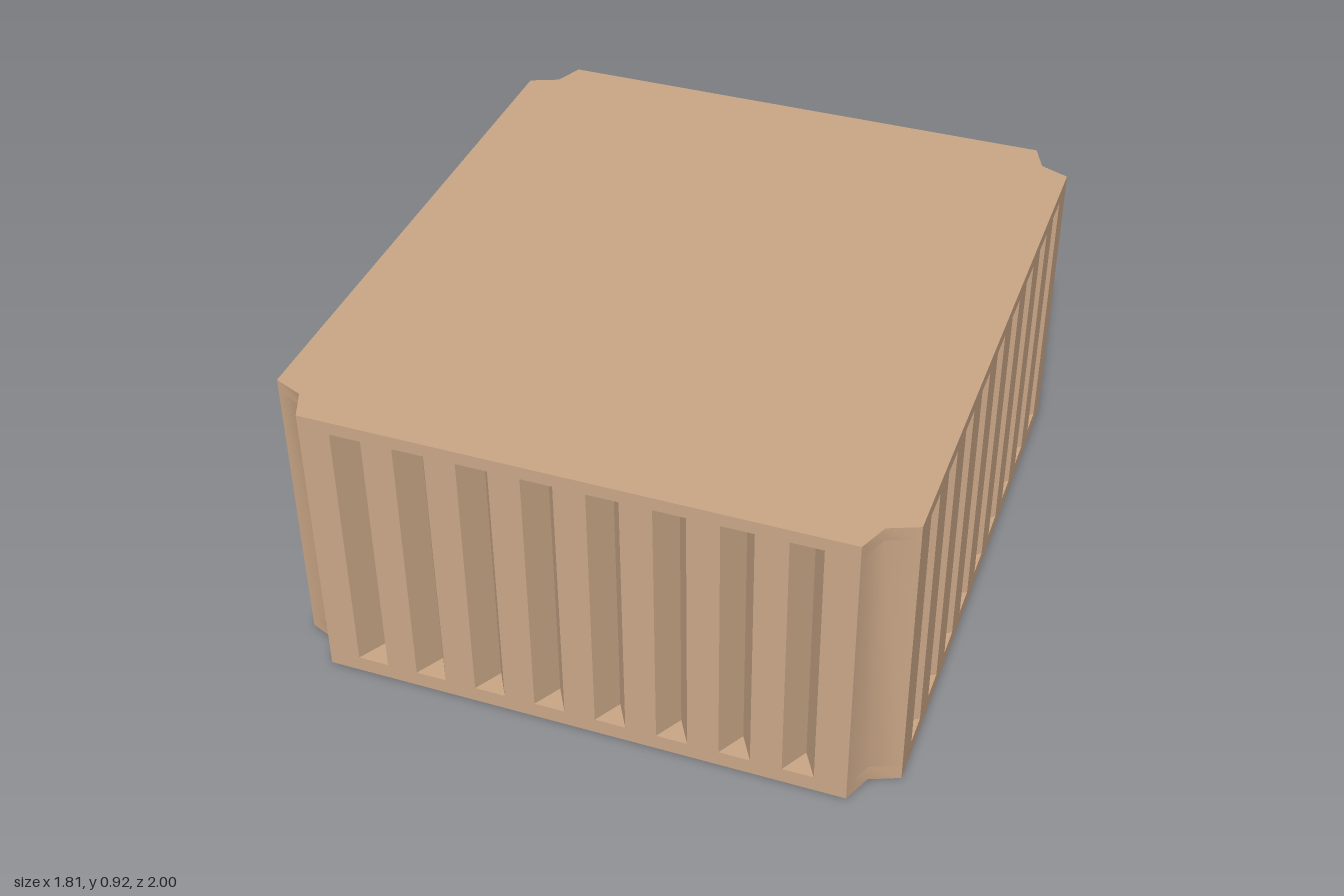
import * as THREE from 'three';
import { toCreasedNormals } from 'three/addons/utils/BufferGeometryUtils.js';

const HALF_X = 0.907, HALF_Z = 1;
const CORNER = 0.123;                 // radius of the scooped corners
const PITCH = 0.184, SLOT = 0.092, DEPTH = 0.08;

// Plan outline with scooped corners, optionally cut by rows of V grooves
function outline(grooved) {
  const points = [];
  for (let k = 0; k < 4; k++) {
    const a = k * Math.PI / 2, c = Math.cos(a), s = Math.sin(a);
    const out = k % 2 ? HALF_Z : HALF_X;
    const along = k % 2 ? HALF_X : HALF_Z;
    const count = k % 2 ? 8 : 9;
    const add = (t, n) => points.push(new THREE.Vector2(n * c - t * s, n * s + t * c));

    add(CORNER - along, out);
    for (let i = 0; grooved && i < count; i++) {
      const t = (i - (count - 1) / 2) * PITCH;
      add(t - SLOT / 2, out);
      add(t, out - DEPTH);
      add(t + SLOT / 2, out);
    }
    add(along - CORNER, out);
    add(along - CORNER * Math.SQRT1_2, out - CORNER * Math.SQRT1_2);
  }
  return new THREE.Shape(points);
}

export function createModel() {
  const group = new THREE.Group();
  const tan = new THREE.MeshStandardMaterial({ color: 0xc9a686 });
  tan.name = 'tan';

  // One horizontal layer of the block
  const layer = (name, y0, y1, grooved) => {
    const geo = new THREE.ExtrudeGeometry(outline(grooved), { depth: y1 - y0, bevelEnabled: false });
    geo.rotateX(-Math.PI / 2).translate(0, y0, 0);
    const mesh = new THREE.Mesh(toCreasedNormals(geo, 0.85), tan);
    mesh.name = name;
    group.add(mesh);
  };

  layer('base', 0, 0.05, false);
  layer('groovedBody', 0.05, 0.88, true);
  layer('lid', 0.88, 0.92, false);
  return group;
}
